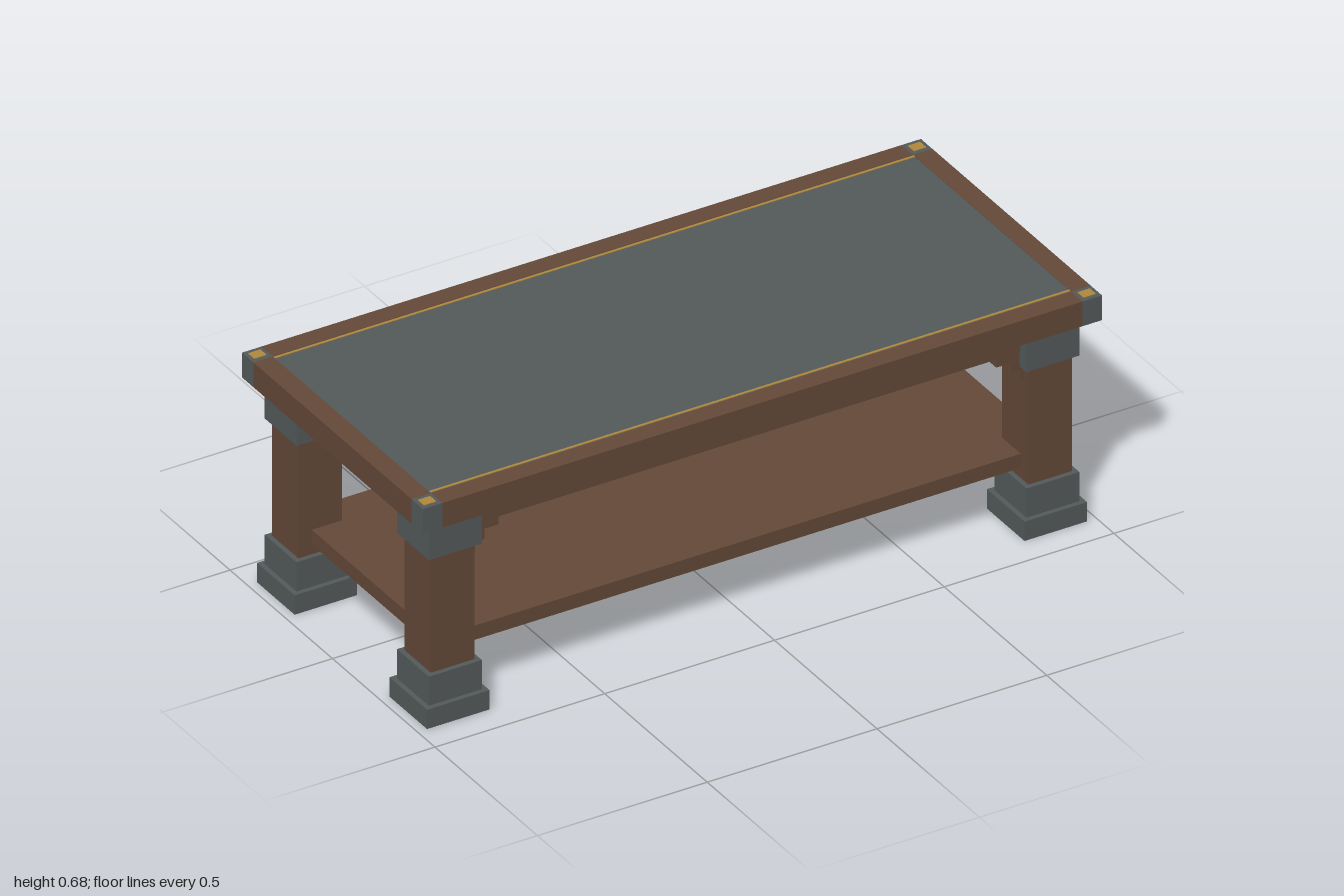
import * as THREE from 'three';

export function createModel() {
  const model = new THREE.Group();
  model.name = 'coffeeTable';

  const wood = new THREE.MeshStandardMaterial({ color: 0x644938 });
  wood.name = 'brown wood';
  const slate = new THREE.MeshStandardMaterial({ color: 0x545a5b });
  slate.name = 'slate grey';
  const brass = new THREE.MeshStandardMaterial({ color: 0xb0893f });
  brass.name = 'brass';

  // Box given by its minimum and maximum corners
  function box(parent, name, material, [x0, y0, z0], [x1, y1, z1]) {
    const mesh = new THREE.Mesh(new THREE.BoxGeometry(x1 - x0, y1 - y0, z1 - z0), material);
    mesh.position.set((x0 + x1) / 2, (y0 + y1) / 2, (z0 + z1) / 2);
    mesh.name = name;
    parent.add(mesh);
    return mesh;
  }

  // Box centred on (x, z), from y0 to y1
  const block = (parent, name, material, x, z, w, d, y0, y1) =>
    box(parent, name, material, [x - w / 2, y0, z - d / 2], [x + w / 2, y1, z + d / 2]);

  const X = 1, Z = 0.442, TOP = 0.673, UNDER = 0.6;
  const innerX = 0.943, innerZ = 0.386;

  // Table top: panel bed, slate inlay, frame rails, corner caps
  const top = new THREE.Group();
  top.name = 'tableTop';
  model.add(top);
  block(top, 'panelBed', wood, 0, 0, innerX * 2, innerZ * 2, UNDER, 0.664);
  block(top, 'slateInlay', slate, 0, 0, innerX * 2, innerZ * 2, 0.664, 0.672);
  for (const s of [-1, 1]) {
    const midX = s * (X + innerX) / 2, midZ = s * (Z + innerZ) / 2;
    block(top, 'longFrameRail', wood, 0, midZ, innerX * 2, Z - innerZ, UNDER, TOP);
    block(top, 'endFrameRail', wood, midX, 0, X - innerX, innerZ * 2, UNDER, TOP);
    block(top, 'inlayStrip', brass, 0, s * 0.379, innerX * 2, 0.007, 0.671, 0.674);
    for (const t of [-1, 1]) {
      const capZ = t * (Z + innerZ) / 2;
      block(top, 'cornerCap', slate, midX, capZ, X - innerX, Z - innerZ, UNDER, TOP);
      block(top, 'cornerStud', brass, midX, capZ, 0.036, 0.03, TOP - 0.004, TOP + 0.002);
    }
  }

  // Apron rails under the top
  const apron = new THREE.Group();
  apron.name = 'apron';
  model.add(apron);
  for (const s of [-1, 1]) {
    block(apron, 'longApron', wood, 0, s * 0.345, 1.82, 0.05, 0.53, UNDER);
    block(apron, 'endApron', wood, s * 0.895, 0, 0.05, 0.7, 0.53, UNDER);
  }

  // Lower shelf
  block(model, 'shelf', wood, 0, 0, 1.81, 0.7, 0.173, 0.215);

  // Legs with plinth, base, capital, studs and stepped bracket
  const legX = 0.88, legZ = 0.323;
  for (const sx of [-1, 1]) {
    for (const sz of [-1, 1]) {
      const leg = new THREE.Group();
      leg.name = 'leg';
      leg.position.set(sx * legX, 0, sz * legZ);
      model.add(leg);
      block(leg, 'plinth', slate, 0, 0, 0.184, 0.184, 0, 0.057);
      block(leg, 'base', slate, 0, 0, 0.156, 0.156, 0.057, 0.143);
      block(leg, 'post', wood, 0, 0, 0.128, 0.128, 0.143, UNDER);
      block(leg, 'capital', slate, 0, 0, 0.156, 0.156, 0.487, 0.573);
      for (const dx of [-0.05, 0.05])
        block(leg, 'capitalStud', brass, dx, -0.084, 0.015, 0.015, 0.515, 0.53);

      // Bracket steps, each shorter than the one above
      [0.147, 0.105, 0.078].forEach((reach, i) => {
        const y1 = 0.535 - i * 0.03;
        block(leg, 'bracketStep', wood, -sx * reach / 2, 0, reach, 0.09, y1 - 0.03, y1);
      });
    }
  }

  return model;
}
